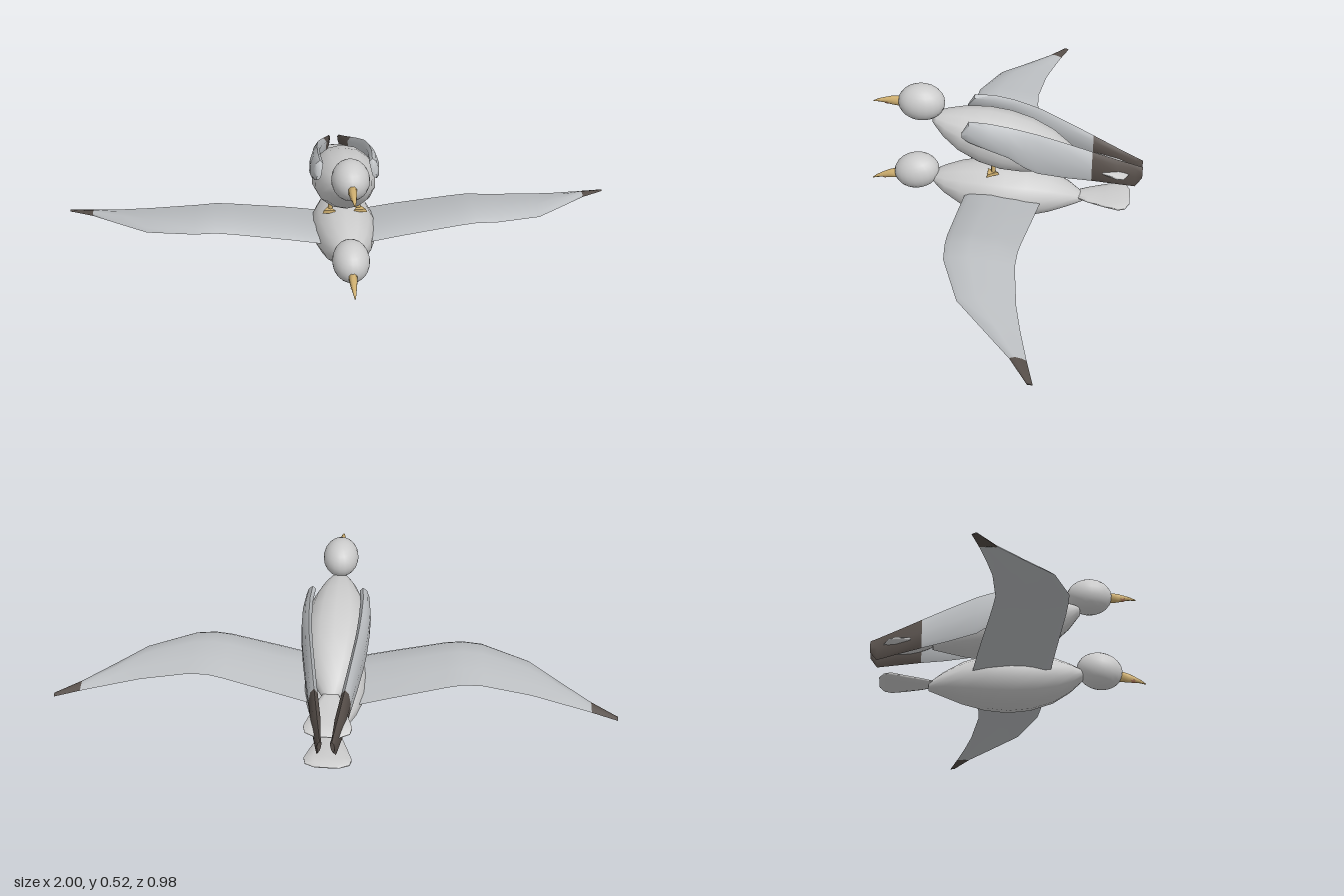
import * as THREE from 'three';
import { toCreasedNormals } from 'three/addons/utils/BufferGeometryUtils.js';

const mat = (color) => new THREE.MeshStandardMaterial({ color });
const grey = mat(0xcccccc), wingGrey = mat(0xbcbfc2), dark = mat(0x564e49);
const horn = mat(0xd0b070), red = mat(0xc98a68);

// Skin closed rings of [x, y, z] points; winding is fixed by the sign of the volume.
function loft(rings, crease = 0) {
  const n = rings[0].length, pos = rings.flat(2), tris = [];
  for (let r = 0; r < rings.length - 1; r++) {
    for (let i = 0; i < n; i++) {
      const a = r * n + i, b = r * n + (i + 1) % n;
      tris.push([a, b, b + n], [a, b + n, a + n]);
    }
  }
  const last = (rings.length - 1) * n;
  for (let i = 1; i < n - 1; i++) tris.push([0, i + 1, i], [last, last + i, last + i + 1]);
  const pts = rings.flat().map((p) => new THREE.Vector3(...p));
  const o = pts[0];
  let volume = 0;
  for (const [a, b, c] of tris) {
    const u = pts[a].clone().sub(o), v = pts[b].clone().sub(o), w = pts[c].clone().sub(o);
    volume += u.dot(v.cross(w));
  }
  const geo = new THREE.BufferGeometry();
  geo.setAttribute('position', new THREE.Float32BufferAttribute(pos, 3));
  geo.setIndex(tris.flatMap(([a, b, c]) => (volume < 0 ? [a, c, b] : [a, b, c])));
  geo.computeVertexNormals();
  return crease ? toCreasedNormals(geo, crease) : geo;
}

// Elliptical ring at z between a top and bottom height
function ellipse(z, top, bottom, halfWidth, sides) {
  return Array.from({ length: sides }, (_, i) => {
    const t = ((i + 0.5) / sides) * Math.PI * 2;
    return [halfWidth * Math.cos(t), (top + bottom) / 2 + ((top - bottom) / 2) * Math.sin(t), z];
  });
}

function add(parent, name, geometry, material) {
  const mesh = new THREE.Mesh(geometry, material);
  mesh.name = name;
  parent.add(mesh);
  return mesh;
}

// z, top, bottom, half width
const BODY = [
  [0.268, 0.048, 0.018, 0.022], [0.255, 0.056, 0.006, 0.036], [0.22, 0.072, -0.028, 0.06],
  [0.16, 0.091, -0.068, 0.088], [0.08, 0.104, -0.096, 0.108], [0, 0.104, -0.106, 0.116],
  [-0.08, 0.092, -0.099, 0.109], [-0.16, 0.066, -0.08, 0.087], [-0.23, 0.026, -0.055, 0.055],
  [-0.28, -0.012, -0.038, 0.022],
];
const TAIL = [
  [-0.25, -0.008, -0.02, 0.02], [-0.3, -0.004, -0.027, 0.045], [-0.36, -0.002, -0.029, 0.068],
  [-0.41, 0, -0.028, 0.086], [-0.435, -0.006, -0.022, 0.08], [-0.452, -0.012, -0.016, 0.045],
];
// Distance along the beak, top, bottom, half width
const BEAK = [
  [0, 0.02, -0.02, 0.016], [0.035, 0.016, -0.016, 0.013], [0.06, 0.009, -0.011, 0.009],
  [0.08, 0.003, -0.009, 0.006], [0.1, -0.007, -0.01, 0.002],
];

function trunk(name, y, pitch) {
  const g = new THREE.Group();
  g.name = name;
  g.position.y = y;
  g.rotation.x = -pitch;
  add(g, 'body', loft(BODY.map((s) => ellipse(...s, 14))), grey);
  add(g, 'tail', loft(TAIL.map((s) => ellipse(...s, 10))), grey);
  return g;
}

function head(y, z, pitch) {
  const g = new THREE.Group();
  g.name = 'head';
  g.position.set(0, y, z);
  g.rotation.x = pitch;
  add(g, 'skull', new THREE.SphereGeometry(1, 20, 14), grey).scale.set(0.064, 0.067, 0.083);
  const beak = add(g, 'beak', loft(BEAK.map((s) => ellipse(...s, 8))), horn);
  beak.position.set(0, -0.003, 0.071);
  const spot = add(g, 'beakSpot', new THREE.SphereGeometry(1, 8, 6), red);
  spot.scale.set(0.011, 0.006, 0.014);
  spot.position.set(0, -0.01, 0.121);
  return g;
}

// Spread wing: x, leading z, trailing z, leading y, trailing y, thickness
const SPREAD = [
  [0.06, 0.14, -0.135, 0.115, 0.1, 0.022], [0.2, 0.148, -0.118, 0.145, 0.13, 0.022],
  [0.4, 0.16, -0.09, 0.184, 0.168, 0.022], [0.46, 0.16, -0.083, 0.191, 0.177, 0.022],
  [0.53, 0.155, -0.08, 0.187, 0.174, 0.021], [0.7, 0.09, -0.1, 0.165, 0.157, 0.018],
  [0.8, 0.0, -0.122, 0.15, 0.144, 0.014], [0.91, -0.098, -0.15, 0.135, 0.132, 0.01],
  [1.0, -0.158, -0.176, 0.124, 0.121, 0.004],
];
// Chord fraction and height for each corner of the wing section
const AIRFOIL = [[0, 0], [0.08, 0.6], [0.35, 1], [0.7, 0.65], [1, 0], [0.7, 0.1], [0.35, 0.15], [0.08, -0.2]];

const spreadRing = (s) => ([x, zl, zt, yl, yt, t]) =>
  AIRFOIL.map(([c, h]) => [s * x, yl + (yt - yl) * c + h * t, zl + (zt - zl) * c]);

// Folded wing: z, top, bottom, x at top, x at bottom
const FOLDED = [
  [0.145, 0.395, 0.378, 0.094, 0.1], [0.12, 0.44, 0.365, 0.09, 0.108], [0.05, 0.438, 0.343, 0.094, 0.118],
  [-0.02, 0.425, 0.315, 0.092, 0.117], [-0.075, 0.41, 0.272, 0.088, 0.11], [-0.12, 0.396, 0.245, 0.083, 0.102],
  [-0.22, 0.355, 0.219, 0.067, 0.083], [-0.31, 0.316, 0.2, 0.052, 0.064],
  [-0.4, 0.277, 0.179, 0.036, 0.046], [-0.465, 0.25, 0.163, 0.024, 0.032], [-0.49, 0.24, 0.195, 0.02, 0.025],
];
const foldedRing = (s) => ([z, top, bottom, xt, xb]) => {
  const t = z > 0.13 || z < -0.45 ? 0.007 : 0.014;
  const at = (f, dx) => [s * (xt + (xb - xt) * f + dx), top + (bottom - top) * f, z];
  return [at(0, 0), at(0.15, t * 0.8), at(0.5, t), at(0.88, t * 0.5), at(1, 0), at(0.85, -t * 0.6), at(0.5, -t), at(0.15, -t)];
};

function flyingBird() {
  const g = new THREE.Group();
  g.name = 'flyingBird';
  g.add(trunk('flyingTrunk', 0.106, 0), head(0.16, 0.326, 0.2));
  for (const [side, s] of [['left', 1], ['right', -1]]) {
    const rings = SPREAD.map(spreadRing(s));
    add(g, side + 'SpreadWing', loft(rings.slice(0, 8), 0.9), wingGrey);
    add(g, side + 'WingTip', loft(rings.slice(7), 0.9), dark);
  }
  return g;
}

function standingBird() {
  const g = new THREE.Group();
  g.name = 'standingBird';
  g.add(trunk('standingTrunk', 0.314, 0.18), head(0.455, 0.297, -0.03));
  for (const [side, s] of [['left', 1], ['right', -1]]) {
    const rings = FOLDED.map(foldedRing(s));
    add(g, side + 'FoldedWing', loft(rings.slice(0, 8), 0.9), wingGrey);
    add(g, side + 'FlightFeathers', loft(rings.slice(7), 0.9), dark);
    // Legs and webbed feet
    const leg = add(g, side + 'Leg', new THREE.CylinderGeometry(0.008, 0.008, 0.075, 8), horn);
    leg.position.set(s * 0.05, 0.226, 0.04);
    const foot = add(g, side + 'Foot', new THREE.CylinderGeometry(0.024, 0.028, 0.01, 3), horn);
    foot.rotation.y = Math.PI;
    foot.position.set(s * 0.055, 0.203, 0.048);
  }
  return g;
}

export function createModel() {
  const model = new THREE.Group();
  model.name = 'birdRidingBird';
  model.add(flyingBird(), standingBird());
  return model;
}
